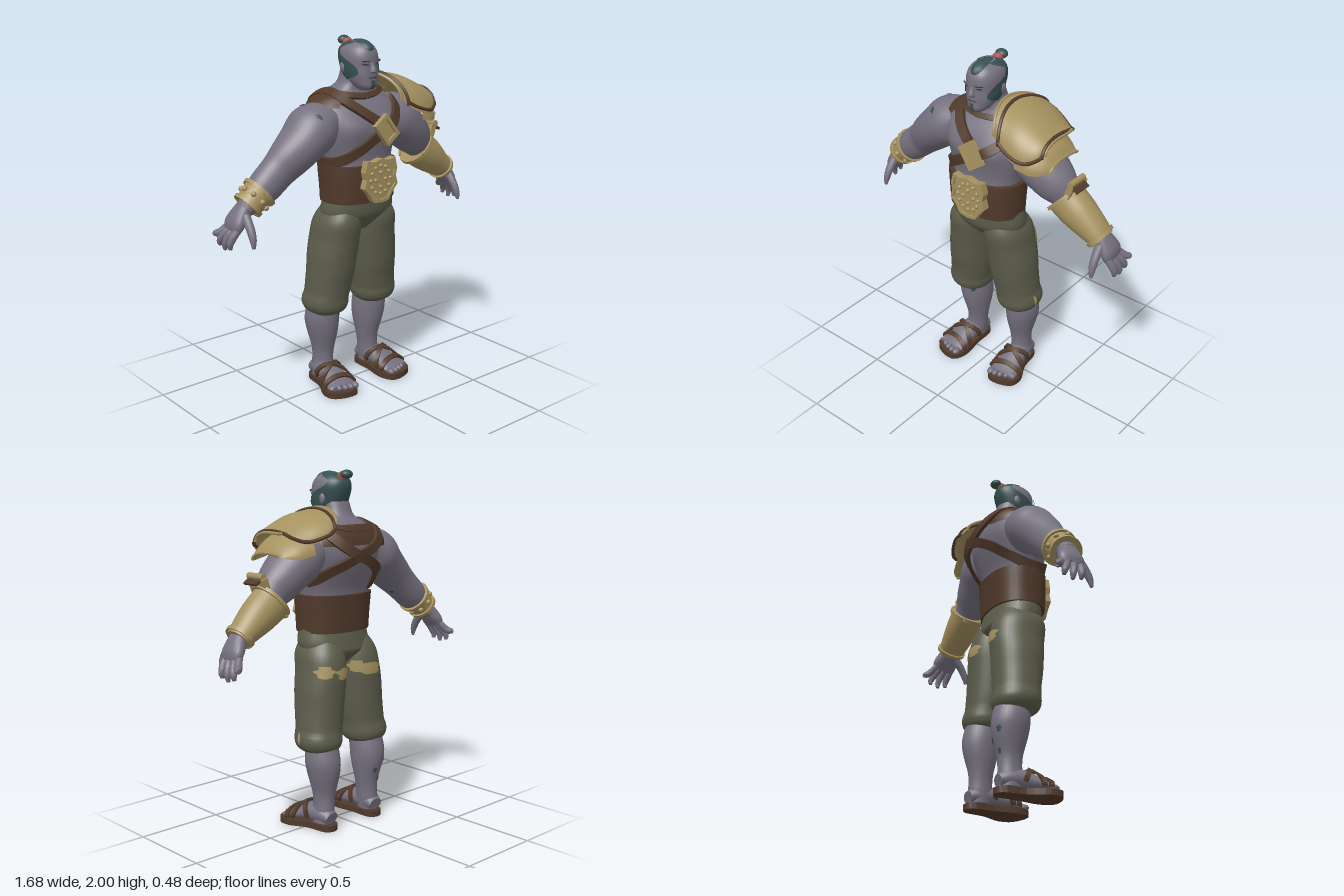
import * as THREE from 'three';
import { mergeVertices, toCreasedNormals } from 'three/addons/utils/BufferGeometryUtils.js';

const mat = (name, color) => new THREE.MeshStandardMaterial({ name, color, side: THREE.DoubleSide });
const V = (x, y, z) => new THREE.Vector3(x, y, z);
const rad = THREE.MathUtils.degToRad;
const spline = (pts) => new THREE.CatmullRomCurve3(pts, false, 'catmullrom', 0.5);

// Grid surface from fn(i, j); outward side is dj x di
function grid(fn, nu, nv, crease = 0.9) {
  const pos = [], idx = [], w = nu + 1;
  for (let j = 0; j <= nv; j++) for (let i = 0; i <= nu; i++) pos.push(...fn(i, j).toArray());
  for (let j = 0; j < nv; j++) for (let i = 0; i < nu; i++) {
    const a = j * w + i, b = a + 1, c = a + w, d = c + 1;
    idx.push(a, c, b, b, c, d);
  }
  const g = new THREE.BufferGeometry();
  g.setAttribute('position', new THREE.Float32BufferAttribute(pos, 3));
  g.setIndex(idx);
  return toCreasedNormals(mergeVertices(g, 1e-5), crease);
}

// Swept oval body from rows [x, y, z, halfU, halfW]; flat keeps the rings level (rows go upward)
function surf(rows, { flat = false, ref = V(0, 0, 1), pow = 2, warp } = {}) {
  const mid = spline(rows.map((r) => V(r[0], r[1], r[2])));
  const size = spline(rows.map((r) => V(r[3], r[4], 0)));
  const e = (v) => Math.sign(v) * Math.abs(v) ** (2 / pow);
  const p = (t, ang, off = 0, k = 1) => {
    const T = flat ? V(0, 1, 0) : mid.getTangent(t), r = size.getPoint(t);
    const W = ref.clone().addScaledVector(T, -ref.dot(T)).normalize();
    const U = T.clone().cross(W);
    const q = mid.getPoint(t).addScaledVector(U, k * (r.x + off) * e(Math.cos(ang)))
      .addScaledVector(W, k * (r.y + off) * e(Math.sin(ang)));
    return warp && k ? warp(q) : q;
  };
  const tAt = (y) => {
    let lo = 0, hi = 1;
    for (let i = 0; i < 25; i++) { const m = (lo + hi) / 2; if (mid.getPoint(m).y < y) lo = m; else hi = m; }
    return lo;
  };
  const normal = (t, a) => {
    const c = Math.min(Math.max(t, 0.01), 0.99), d = 0.004;
    const du = p(c, a + d).sub(p(c, a - d)), dv = p(c + d, a).sub(p(c - d, a));
    return dv.cross(du).normalize();
  };
  return { p, tAt, normal, n: rows.length };
}

const loft = (s, nu = 28) => {
  const nv = s.n * 4 + 2;
  return grid((i, j) => s.p(Math.min(1, Math.max(0, (j - 1) / (nv - 2))), i / nu * Math.PI * 2, 0, j % nv ? 1 : 0), nu, nv);
};

// Thin patch lying on a body: from t0 to t1 (or heights), centred on an angle, half(f) degrees wide
const tPatch = (s, t0, t1, mid, half, off = 0.005) => grid((i, j) =>
  s.p(t0 + (t1 - t0) * j / 12, rad(mid + half(j / 12) * (i / 8 - 1)), off), 16, 12);
const yPatch = (s, y0, y1, ...rest) => tPatch(s, s.tAt(y0), s.tAt(y1), ...rest);
const blob = (f) => 2 + 7 * Math.sin(f * Math.PI) + 2 * Math.sin(f * 13);

// Strap following a body along a path of [degrees, t or y, offset]
function strap(s, path, w, h, useY = true) {
  const c = spline(path.map(([a, y, o = 0.012]) => V(a, y, o))), n = path.length * 6;
  const at = (f) => { const k = c.getPoint(f); return [useY ? s.tAt(k.y) : k.y, rad(k.x), k.z]; };
  return grid((i, j) => {
    const f = j / n, [t, a, o] = at(f);
    const P = s.p(t, a, o), N = s.normal(t, a);
    const T = s.p(...at(Math.min(1, f + 0.01))).sub(s.p(...at(Math.max(0, f - 0.01)))).normalize();
    const B = T.cross(N).normalize(), q = i % 4;
    return P.addScaledVector(B, (q === 0 || q === 3 ? 0.5 : -0.5) * w).addScaledVector(N, q < 2 ? h : -h);
  }, 4, n, 0.6);
}

export function createModel() {
  const root = new THREE.Group();
  const skin = mat('greySkin', 0x76717f), cloth = mat('oliveCloth', 0x5c5d4b), leather = mat('brownLeather', 0x513a2b);
  const gold = mat('agedGold', 0xa5915f), hair = mat('tealHair', 0x355150), red = mat('redBand', 0xb14a40), dark = mat('darkLine', 0x3c363c);
  const add = (name, geo, m, at = [0, 0, 0], rot = [0, 0, 0], sc = [1, 1, 1]) => {
    const o = new THREE.Mesh(geo, m);
    o.name = name; o.position.set(...at); o.rotation.set(...rot); o.scale.set(...sc);
    root.add(o);
  };
  const ball = (name, m, at, r) => add(name, new THREE.SphereGeometry(1, 18, 12), m, at, [0, 0, 0], r);
  const tube = (name, m, pts, r) => add(name, new THREE.TubeGeometry(spline(pts), 32, r, 6), m);

  // Torso and neck, with chest muscles pushed forward
  const torso = surf([[0, 1.1, .03, .185, .12], [0, 1.25, .03, .2, .142], [0, 1.35, .022, .212, .145], [0, 1.45, .01, .242, .165],
    [0, 1.55, -.005, .265, .175], [0, 1.62, -.018, .262, .16], [0, 1.68, -.03, .215, .125], [0, 1.72, -.025, .14, .1],
    [0, 1.76, -.005, .088, .086], [0, 1.83, .015, .076, .08]], {
    flat: true, pow: 2.3,
    warp: (q) => {
      const g = Math.exp(-(((Math.abs(q.x) - .12) / .085) ** 2) - ((q.y - 1.52) / .065) ** 2);
      q.z += g * (q.z > 0 ? .022 : -.008); return q;
    },
  });
  add('torso', loft(torso, 40), skin);

  // Head
  const head = surf([[0, 1.725, .1, .03, .035], [0, 1.745, .09, .055, .066], [0, 1.775, .072, .074, .085], [0, 1.81, .057, .086, .1],
    [0, 1.85, .047, .09, .108], [0, 1.9, .04, .092, .116], [0, 1.94, .036, .083, .108], [0, 1.968, .036, .06, .08],
    [0, 1.984, .036, .03, .04]], { flat: true, pow: 2.2 });
  add('head', loft(head, 32), skin);
  add('nose', loft(surf([[0, 1.82, .15, .017, .022], [0, 1.832, .156, .018, .027], [0, 1.86, .15, .011, .02], [0, 1.895, .143, .011, .012]], { flat: true }), 12), skin);
  add('brow', yPatch(head, 1.878, 1.892, 90, () => 42, .009), skin);
  add('mouth', yPatch(head, 1.793, 1.798, 90, () => 16, .003), dark);
  add('beard', yPatch(head, 1.733, 1.782, 90, (f) => 15 - 9 * f, .007), hair);
  for (const s of [1, -1]) {
    add('eye', yPatch(head, 1.864, 1.872, 90 - s * 25, () => 9, .004), dark);
    add('eyebrow', yPatch(head, 1.882, 1.888, 90 - s * 24, () => 12, .012), dark);
    ball('ear', skin, [s * .09, 1.845, .015], [.012, .03, .02]);
  }
  const wide = spline([V(65, 0, 0), V(126, 0, 0), V(122, 0, 0), V(76, 0, 0), V(64, 0, 0)]);
  add('backHair', yPatch(head, 1.775, 1.95, 270, (f) => wide.getPoint(f).x, .006), hair);
  add('crownHair', yPatch(head, 1.945, 1.983, 270, (f) => 64 + 56 * f, .006), hair);
  ball('topHair', hair, [0, 1.943, .052], [.054, .05, .096]);
  add('hairBand', new THREE.CylinderGeometry(.028, .033, .03, 16), red, [0, 1.961, -.052], [-.9, 0, 0]);
  ball('hairBun', hair, [0, 1.976, -.084], [.036, .025, .031]);

  // Trousers
  add('trouserSeat', loft(surf([[0, .94, 0, .07, .085], [0, 1, .002, .2, .138], [.005, 1.05, .016, .228, .148], [.005, 1.14, .028, .215, .142]], { flat: true, pow: 2.2 })), cloth);
  for (const s of [1, -1]) {
    const leg = surf([[.172, .45, -.045, .085, .09], [.175, .472, -.045, .113, .12], [.177, .505, -.045, .127, .133], [.176, .54, -.043, .128, .132],
      [.168, .575, -.037, .126, .13], [.16, .63, -.032, .129, .133], [.152, .7, -.025, .131, .14], [.143, .8, -.02, .133, .147],
      [.13, .9, -.014, .128, .154], [.122, 1, .003, .122, .15], [.11, 1.08, .015, .09, .115]].map((r) => [r[0] * s, ...r.slice(1)]), { flat: true, pow: 2.2 });
    add('trouserLeg', loft(leg, 32), cloth);
    const [inner, outer] = s > 0 ? [258, 308] : [278, 312];
    add('thighPatch', yPatch(leg, .865, .93, inner, (f) => (s > 0 ? 5 : 14) + 15 * Math.sin(f * 2.8) + 5 * Math.sin(f * 11)), gold);
    add('thighPatchSide', yPatch(leg, .88, .945, outer, (f) => 7 + 18 * Math.sin(f * 3) + 5 * Math.sin(f * 14)), gold);
    if (s > 0) add('cuffTear', yPatch(leg, .5, .57, 6, (f) => 1 + 3 * Math.sin(f * 3.1)), gold);

    // Lower leg, foot and sandal
    const calf = surf([[.178, .04, -.08, .055, .065], [.174, .1, -.08, .058, .068], [.17, .16, -.08, .058, .066], [.168, .22, -.08, .065, .072],
      [.172, .32, -.08, .086, .098], [.176, .4, -.077, .096, .106], [.174, .5, -.065, .088, .095]].map((r) => [r[0] * s, ...r.slice(1)]), { flat: true });
    add('calf', loft(calf), skin);
    const foot = surf([[.175, .07, -.15, .045, .035], [.178, .085, -.09, .06, .055], [.184, .085, -.01, .064, .056], [.194, .066, .07, .077, .038],
      [.203, .05, .13, .085, .024], [.205, .046, .155, .08, .018]].map((r) => [r[0] * s, ...r.slice(1)]), { ref: V(0, 1, 0) });
    add('foot', loft(foot, 20), skin);
    for (let i = 0; i < 5; i++) ball('toe', skin, [s * (.138 + i * .033), .048, .172 - i * i * .003], [i ? .016 : .02, .018, .028]);
    const outline = new THREE.CatmullRomCurve3([[.13, -.15], [.175, -.172], [.22, -.15], [.245, -.02], [.298, .09], [.29, .16], [.22, .2],
      [.14, .2], [.105, .13], [.12, -.02]].map(([x, z]) => V(x * s, -z, 0)), true);
    add('sandalSole', new THREE.ExtrudeGeometry(new THREE.Shape(outline.getPoints(40).map((q) => new THREE.Vector2(q.x, q.y))),
      { depth: .034, bevelEnabled: false }), leather, [0, 0, 0], [-Math.PI / 2, 0, 0]);
    add('toeStrap', strap(foot, [[-15, .74], [45, .7], [90, .68], [135, .7], [195, .74]], .028, .006, false), leather);
    add('crossStrap', strap(foot, [[-20, .64], [45, .53], [90, .46], [135, .42], [200, .36]], .026, .006, false), leather);
    add('instepStrap', strap(foot, [[200, .64], [135, .53], [90, .46], [45, .42], [-20, .36]], .026, .006, false), leather);
    if (s < 0) [[250, .21], [285, .27], [240, .32], [60, .42]].forEach(([a, y]) =>
      add('calfMark', yPatch(calf, y, y + .035, a, blob, .003), hair));

    // Arm and hand; the left forearm is slimmer inside its guard
    const slim = (i) => (s > 0 && i > 3 && i < 7 ? .86 : 1);
    const arm = surf([[.19, 1.58, -.01, .1, .12], [.28, 1.533, -.003, .138, .15], [.36, 1.468, .003, .125, .14], [.44, 1.398, -.003, .113, .116],
      [.51, 1.332, -.015, .1, .092], [.6, 1.255, -.02, .092, .086], [.675, 1.193, -.025, .066, .066], [.72, 1.155, -.03, .046, .054]]
      .map((r, i) => [r[0] * s, r[1], r[2], r[3] * slim(i), r[4] * slim(i)]));
    add('arm', loft(arm, 32), skin);
    if (s < 0) [[.1, -12], [.13, 48], [.5, 200]].forEach(([t, a]) => add('armMark', tPatch(arm, t, t + .026, a, blob, .004), hair));
    add('palm', loft(surf([[.695, 1.18, -.03, .046, .05], [.735, 1.14, -.036, .04, .06], [.768, 1.09, -.045, .036, .074], [.783, 1.05, -.05, .024, .066]]
      .map((r) => [r[0] * s, ...r.slice(1)]), { pow: 2.4 }), 20), skin);
    [[.002, -.018, .96], [-.033, -.068, .948], [-.068, -.118, .962], [-.1, -.16, 1.015]].forEach(([z0, z1, y]) => add('finger',
      loft(surf([[.772 * s, 1.07, z0, .018, .02], [.802 * s, 1.03, (z0 + z1) / 2, .021, .021], [.82 * s, (y + 1.02) / 2, z1 * .9 + z0 * .1, .018, .018], [.818 * s, y, z1, .01, .01]]), 12), skin));
    add('thumb', loft(surf([[.735 * s, 1.13, .005, .026, .028], [.739 * s, 1.07, .055, .023, .023], [.742 * s, 1.02, .08, .019, .019], [.745 * s, .975, .09, .009, .009]]), 12), skin);
  }

  // Belt with studded plate
  add('belt', loft(surf([[0, 1.115, .028, .22, .158], [0, 1.2, .028, .224, .163], [0, 1.28, .026, .23, .166], [0, 1.325, .024, .232, .168]], { flat: true, pow: 2.4 }), 40), leather);
  const half = [[.05, .112], [.098, .122], [.114, .06], [.104, .02], [.118, -.03], [.082, -.07], [.055, -.113]];
  const plate = (k) => new THREE.Shape([[0, .125], ...half, [0, -.122], ...half.map(([x, y]) => [-x, y]).reverse()].map(([x, y]) => new THREE.Vector2(x * k, y * k)));
  const rim = plate(1); rim.holes.push(plate(.86));
  add('beltPlate', new THREE.ExtrudeGeometry(plate(.95), { depth: .03, bevelEnabled: false }), gold, [.012, 1.237, .183]);
  add('beltPlateRim', new THREE.ExtrudeGeometry(rim, { depth: .042, bevelEnabled: false }), gold, [.012, 1.237, .181]);
  for (let i = 0; i < 12; i++) {
    const a = i / 12 * Math.PI * 2;
    ball('beltStud', gold, [.012 + Math.cos(a) * .07, 1.245 + Math.sin(a) * .078, .214], [.011, .011, .011]);
    if (i % 3 === 0) ball('beltStud', gold, [.012 + Math.cos(a) * .035, 1.245 + Math.sin(a) * .04, .214], [.011, .011, .011]);
  }

  // Harness straps, collar and back panels
  add('shoulderStrap', strap(torso, [[72, 1.47, .02], [86, 1.55, .02], [108, 1.64, .018], [135, 1.695, .016], [180, 1.715, .016], [225, 1.68, .02],
    [255, 1.6, .04], [285, 1.52, .045], [325, 1.43, .02], [350, 1.4]], .055, .01), leather);
  add('chestStrap', strap(torso, [[25, 1.67], [52, 1.6, .018], [76, 1.52, .018], [110, 1.42, .018], [140, 1.365], [180, 1.345], [220, 1.39, .02],
    [250, 1.47, .045], [280, 1.56, .045], [310, 1.65, .02], [345, 1.69]], .055, .01), leather);
  add('collar', strap(torso, [[90, 1.69], [35, 1.71], [0, 1.72], [-45, 1.7], [-90, 1.68], [-135, 1.7], [-180, 1.72], [-215, 1.71], [-270, 1.69]], .032, .012), leather);
  add('backPanel', yPatch(torso, 1.6, 1.71, 270, (f) => 50 + 14 * f, .02), leather);
  add('rightBackPanel', yPatch(torso, 1.585, 1.7, 226, () => 18, .026), leather);
  add('shoulderPanel', yPatch(torso, 1.645, 1.715, 178, () => 48, .024), leather);
  const frame = (w, h) => new THREE.Shape([[-w, -h], [w, -h], [w, h], [-w, h]].map(([x, y]) => new THREE.Vector2(x, y)));
  const buckle = frame(.053, .072); buckle.holes.push(frame(.034, .05));
  add('chestBuckle', new THREE.ExtrudeGeometry(buckle, { depth: .03, bevelEnabled: false }), gold, [.045, 1.515, .205], [-.08, 0, .63]);
  add('chestBucklePlate', new THREE.BoxGeometry(.085, .12, .03), gold, [.045, 1.515, .207], [-.08, 0, .63]);

  // Left shoulder armour: rows [x, base, height, depth, z shift]; the base rises towards the back, the neck edge bows inward
  const dome = (rows, rise, bow) => {
    const c = spline(rows.map((r) => V(...r.slice(0, 3)))), d = spline(rows.map((r) => V(r[3], r[4], 0)));
    return (v, a, k = 1) => {
      const q = c.getPoint(v), w = d.getPoint(v), up = rise * (1 - Math.cos(a)) / 2 * (1 - Math.sin(a));
      return V(q.x + bow * (1 - v) * Math.cos(a) ** 2, q.y + up + q.z * Math.sin(a) * k, w.y + w.x * Math.cos(a) * k);
    };
  };
  const shell = (f) => grid((i, j) => f(j / 14, Math.PI * i / 28), 28, 14);
  const upper = dome([[.115, 1.665, .135, .19, .005], [.19, 1.61, .18, .222, -.005], [.28, 1.575, .2, .22, .008], [.36, 1.565, .175, .195, .02],
    [.425, 1.595, .11, .155, .028], [.46, 1.625, .055, .115, .025]], .06, .06);
  const lower = dome([[.32, 1.535, .17, .2, .015], [.4, 1.52, .14, .185, .02], [.455, 1.52, .1, .15, .02], [.49, 1.53, .045, .115, .015]], .03, 0);
  add('shoulderPlate', shell(upper), gold);
  add('lowerShoulderPlate', shell(lower), gold);
  const arc = (f, v, k) => Array.from({ length: 17 }, (_, i) => f(v, Math.PI * i / 16, k));
  tube('innerTrim', leather, arc(upper, .13, 1.01), .01);
  tube('outerTrim', leather, arc(upper, .93, 1.02), .01);
  tube('plateEdge', gold, arc(upper, 0, 1), .009);
  tube('plateTip', gold, arc(upper, 1, 1), .009);
  tube('lowerPlateEdge', gold, arc(lower, 1, 1), .009);
  for (const a of [.12, Math.PI - .12]) tube('sideTrim', leather, Array.from({ length: 9 }, (_, i) => upper(.13 + i * .1, a, 1.01)), .01);

  // Left forearm guard with elbow flap
  const guard = surf([[.49, 1.325, -.02, .112, .1], [.51, 1.308, -.02, .11, .1], [.58, 1.258, -.022, .102, .097], [.66, 1.2, -.027, .082, .086], [.725, 1.15, -.03, .062, .075]]);
  add('forearmGuard', loft(guard), gold);
  for (const t of [.03, .94]) add('guardRim', strap(guard, [0, 60, 120, 180, 240, 300, 360].map((a) => [a, t, .004]), .02, .007, false), gold);
  add('elbowFlap', new THREE.BoxGeometry(.035, .11, .125), gold, [.55, 1.4, -.005], [0, 0, -.35]);
  add('elbowRoll', new THREE.CylinderGeometry(.018, .018, .12, 12), gold, [.568, 1.46, .005], [Math.PI / 2, 0, 0]);
  add('elbowTrim', new THREE.BoxGeometry(.05, .012, .104), leather, [.59, 1.435, .005], [0, 0, -.6]);

  // Right studded wrist cuff
  const band = surf([[-.622, 1.238, -.023, .09, .09], [-.66, 1.207, -.025, .08, .082], [-.7, 1.172, -.028, .074, .078]]);
  add('wristCuff', loft(band), gold);
  for (const t of [.06, .94]) add('wristCuffRim', strap(band, [0, 60, 120, 180, 240, 300, 360].map((a) => [a, t, .004]), .02, .007, false), gold);
  for (let i = 0; i < 8; i++) ball('wristStud', gold, band.p(.5, i * Math.PI / 4, .003).toArray(), [.015, .015, .015]);
  return root;
}
